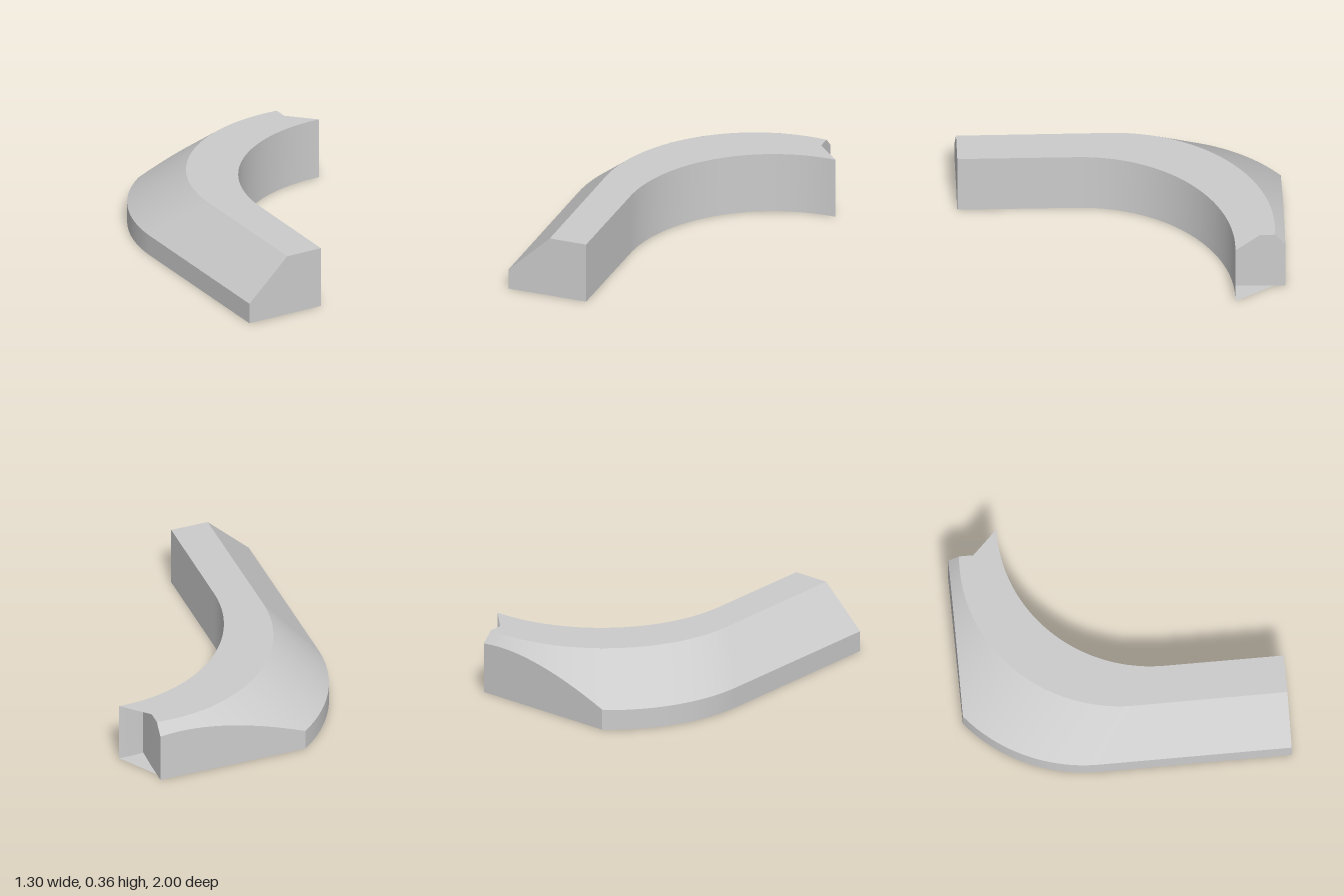
import * as THREE from 'three';

const TOP = 0.356, LIP = 0.12;
const START = -0.158, CUT = 0.747; // angles where the bend begins and where the back cut meets the outside

// Three plan curves: a straight run from the front, then an arc
const inner = { front: [-0.005, 0.922], c: [0.746, 0.12], r: 0.866 };
const crest = { front: [-0.222, 0.957], c: [0.532, -0.04], r: 0.902 };
const outer = { front: [-0.467, 0.997], c: [0.285, -0.225], r: 0.935 };

const corner = [0.462, -1], backLeft = [-0.4, -0.862];
const arcPoint = (k, a) => [k.c[0] - k.r * Math.cos(a), k.c[1] - k.r * Math.sin(a)];
const range = (a, b, n) => Array.from({ length: n + 1 }, (_, i) => a + (b - a) * i / n);
const plan = (k, angles) => [k.front, ...angles.map(a => arcPoint(k, a))];
const at = (p, y) => [p[0], y, p[1]];

export function createModel() {
  const group = new THREE.Group();
  group.name = 'curvedKerb';
  const material = new THREE.MeshStandardMaterial({ color: 0xcccccc, side: THREE.DoubleSide });

  const add = (name, geometry) => {
    const mesh = new THREE.Mesh(geometry, material);
    mesh.name = name;
    group.add(mesh);
  };

  // Skin between a lower and an upper line of points
  const skin = (name, low, high) => {
    const positions = [], index = [];
    low.forEach((p, i) => {
      positions.push(...p, ...high[i]);
      if (i) {
        const k = 2 * i;
        index.push(k - 2, k, k + 1, k - 2, k + 1, k - 1);
      }
    });
    const g = new THREE.BufferGeometry();
    g.setAttribute('position', new THREE.Float32BufferAttribute(positions, 3));
    g.setIndex(index);
    g.computeVertexNormals();
    add(name, g);
  };

  // Level face from a plan outline, facing up or down
  const slab = (name, outline, y, up) => {
    const s = up ? -1 : 1;
    const shape = new THREE.Shape(outline.map(p => new THREE.Vector2(p[0], s * p[1])));
    const g = new THREE.ShapeGeometry(shape);
    g.rotateX(s * Math.PI / 2);
    g.translate(0, y, 0);
    add(name, g);
  };

  const innerLine = plan(inner, range(START, 1.454, 40));
  const crestLine = plan(crest, range(START, 1.502, 40));
  const outerLine = plan(outer, range(START, CUT, 24));
  const tip = innerLine.at(-1), crestEnd = crestLine.at(-1);
  const notch = [0.482, -0.86], innerEnd = [0.5, -0.711];

  // Vertical sides
  skin('innerWall', innerLine.map(p => at(p, 0)), innerLine.map(p => at(p, TOP)));
  const outerBack = [...outerLine].reverse();
  skin('outerWall', outerBack.map(p => at(p, 0)), outerBack.map(p => at(p, LIP)));

  // Sloping face, trimmed by the straight back cut
  const beyond = p => (p[0] - backLeft[0]) * (backLeft[1] - corner[1])
    + (p[1] - backLeft[1]) * (corner[0] - backLeft[0]);
  const trimmed = a => {
    const c = arcPoint(crest, a), o = arcPoint(outer, a);
    const t = a <= CUT ? 1 : Math.min(1, beyond(c) / (beyond(c) - beyond(o)));
    return [c[0] + (o[0] - c[0]) * t, TOP + (LIP - TOP) * t, c[1] + (o[1] - c[1]) * t];
  };
  const before = range(START, CUT, 24), after = range(CUT, 1.502, 24).slice(1);
  const cutEdge = [at(backLeft, LIP), ...after.map(trimmed), at(corner, 0.295)].reverse();
  const slopeHigh = [...plan(crest, [...before, ...after]), crestEnd].map(p => at(p, TOP)).reverse();
  const slopeLow = [...cutEdge.slice(0, -1), ...[at(outer.front, LIP), ...before.map(trimmed)].reverse()];
  skin('slopingFace', slopeLow, slopeHigh);
  skin('backWall', cutEdge.map(p => [p[0], 0, p[2]]), cutEdge);

  // Ends
  const end = [innerEnd, notch, crestEnd, corner];
  skin('endWall', end.map(p => at(p, 0)), end.map((p, i) => at(p, i < 3 ? TOP : 0.295)));
  const front = [outer.front, crest.front, inner.front];
  skin('frontWall', front.map(p => at(p, 0)), front.map((p, i) => at(p, i ? TOP : LIP)));

  // Level faces
  const innerBack = [...innerLine].reverse();
  slab('topFace', [...crestLine, notch, ...innerBack], TOP, true);
  slab('baseFace', [...outerLine, corner, crestEnd, ...innerBack], 0, false);
  return group;
}
